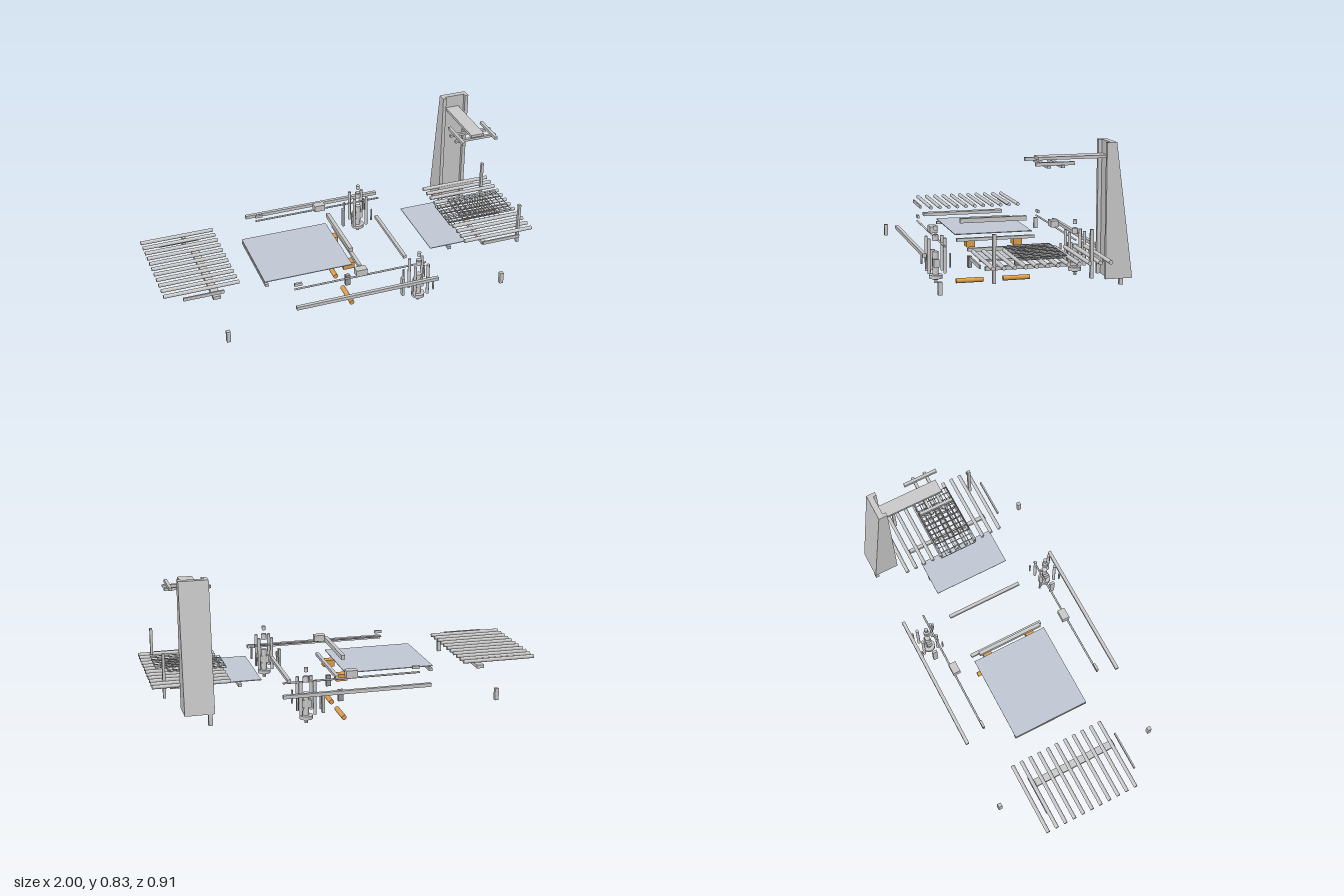
import * as THREE from 'three';

const grey = new THREE.MeshStandardMaterial({ color: 0xcccccc });
const dark = new THREE.MeshStandardMaterial({ color: 0x9a999d });
const orange = new THREE.MeshStandardMaterial({ color: 0xe0a04c });
const sheet = new THREE.MeshStandardMaterial({ color: 0xc2cad6 });

export function createModel() {
  const root = new THREE.Group();

  const add = (name, geometry, x, y, z, material = grey, parent = root) => {
    const mesh = new THREE.Mesh(geometry, material);
    mesh.name = name;
    mesh.position.set(x, y, z);
    parent.add(mesh);
    return mesh;
  };
  // Box given by its extents on each axis
  const box = (name, [x0, x1], [y0, y1], [z0, z1], material, parent) =>
    add(name, new THREE.BoxGeometry(x1 - x0, y1 - y0, z1 - z0),
      (x0 + x1) / 2, (y0 + y1) / 2, (z0 + z1) / 2, material, parent);
  // Cylinder along x, y or z
  const rod = (name, axis, r, length, x, y, z, material, parent, sides = 16) => {
    const g = new THREE.CylinderGeometry(r, r, length, sides);
    if (axis === 'x') g.rotateZ(Math.PI / 2);
    if (axis === 'z') g.rotateX(Math.PI / 2);
    return add(name, g, x, y, z, material, parent);
  };
  const group = (name) => {
    const g = new THREE.Group();
    g.name = name;
    root.add(g);
    return g;
  };

  // Roller tables at both ends
  const tables = [
    { name: 'rightRollerTable', x: -0.805, first: -0.3, count: 11, cross: -0.733, w: 0.02, rails: [-0.257, 0.252] },
    { name: 'leftRollerTable', x: 0.805, first: -0.302, count: 12, cross: 0.737, w: 0.01, rails: [-0.295, 0.295] },
  ];
  for (const t of tables) {
    const g = group(t.name);
    for (let i = 0; i < t.count; i++)
      rod('roller', 'x', 0.01, 0.39, t.x, 0.298, t.first + i * 0.0508, grey, g);
    box('crossBeam', [t.cross - t.w, t.cross + t.w], [0.232, 0.25], [-0.232, 0.23], grey, g);
    for (const z of t.rails)
      box('sideRail', [t.x - 0.105, t.x + 0.105], [0.28, 0.298], [z - 0.004, z + 0.004], grey, g);
    // Short legs
    const x = Math.sign(t.x) * 0.74;
    for (const z of [-0.443, 0.447])
      box('leg', [x - 0.01, x + 0.01], [0.128, 0.19], [z - 0.01, z + 0.01], grey, g);
  }

  // Guide posts beside the left table
  for (const z of [-0.23, 0.235])
    box('guidePost', [0.924, 0.938], [0.213, 0.443], [z - 0.008, z + 0.008]);

  // Two wire grids
  const wireGrid = (name, x0, x1, y) => {
    const g = group(name);
    for (let i = 0; i <= 7; i++)
      rod('wire', 'x', 0.0022, x1 - x0, (x0 + x1) / 2, y, -0.103 + i * 0.0294, grey, g, 6);
    const n = Math.round((x1 - x0) / 0.03);
    for (let i = 0; i <= n; i++)
      rod('wire', 'z', 0.0022, 0.206, x0 + (x1 - x0) * i / n, y, 0, grey, g, 6);
  };
  wireGrid('lowerGrid', 0.595, 0.89, 0.307);
  wireGrid('upperGrid', 0.67, 0.955, 0.332);

  // Flat bed sheets and the bars below them
  box('mainSheet', [-0.475, -0.002], [0.258, 0.262], [-0.21, 0.208], sheet);
  box('smallSheet', [0.437, 0.64], [0.258, 0.262], [-0.21, 0.208], sheet);
  for (const x of [-0.465, 0.04, 0.293, 0.547])
    box('crossBar', [x - 0.009, x + 0.009], [0.232, 0.248], [-0.21, 0.21]);

  // Centre parts: upper beam, blocks, pins and bottom rollers
  box('upperBeam', [-0.01, 0.01], [0.321, 0.345], [-0.178, 0.182]);
  for (const z of [-0.124, 0.13]) {
    box('block', [-0.03, 0.03], [0.196, 0.232], [z - 0.023, z + 0.023], orange);
    box('pin', [-0.013, 0.013], [0.082, 0.143], [z - 0.01, z + 0.01], dark);
    rod('bottomRoller', 'z', 0.013, 0.147, 0, 0.013, z, orange, root, 24);
  }

  // Long side rails, slim rods, sliders and rod ends
  for (const s of [-1, 1]) {
    box('longRail', [-0.385, 0.38], [0.232, 0.25], [s * 0.447 - 0.009, s * 0.447 + 0.009]);
    rod('slimRod', 'x', 0.005, 0.715, -0.002, 0.275, s * 0.338, grey, root, 10);
    box('slider', [-0.03, 0.03], [0.28, 0.314], [s * 0.327 - 0.02, s * 0.327 + 0.02]);
    box('rodEnd', [-0.36, -0.32], [0.295, 0.31], [s * 0.338 - 0.006, s * 0.338 + 0.006]);
  }

  // Spindle units with guide columns
  for (const [x, y, z] of [[0.3, 0, 0.375], [0.245, -0.013, -0.37]]) {
    const g = group('spindleUnit');
    g.position.set(x, y, z);
    for (const [name, r, y0, y1] of [
      ['spindleBody', 0.015, 0.124, 0.242], ['flange', 0.034, 0.106, 0.124],
      ['nose', 0.013, 0.098, 0.106], ['tip', 0.009, 0.082, 0.092],
      ['coupling', 0.016, 0.298, 0.324], ['couplingRim', 0.013, 0.324, 0.329],
      ['cap', 0.01, 0.35, 0.372]])
      rod(name, 'y', r, y1 - y0, 0, (y0 + y1) / 2, 0, grey, g, 24);
    box('bodyBracket', [-0.025, 0.025], [0.165, 0.205], [-0.014, 0.014], grey, g);
    for (const sx of [-1, 1]) for (const sz of [-1, 1]) {
      rod('guideColumn', 'y', 0.008, 0.178, sx * 0.035, 0.226, sz * 0.04, grey, g);
      rod('slimColumn', 'y', 0.005, 0.07, sx * 0.058, 0.205, sz * 0.06, grey, g, 10);
    }
    box('sidePlate', [-0.093, -0.08], [0.13, 0.235], [-0.013, 0.013], grey, g);
  }

  // Tapered column with a shallow front recess
  const column = group('column');
  const wedge = (name, x0, x1, front) => {
    // Shape plane maps to (z, y); extrusion runs along x
    const s = new THREE.Shape([[front, 0.187], [front, 0.835], [0.37, 0.835], [0.455, 0.187]]
      .map(([a, b]) => new THREE.Vector2(a, b)));
    const g = new THREE.ExtrudeGeometry(s, { depth: x1 - x0, bevelEnabled: false });
    g.rotateY(Math.PI / 2);
    add(name, g, x0, 0, 0, grey, column);
  };
  wedge('rightFlange', 0.718, 0.737, 0.322);
  wedge('columnCore', 0.737, 0.847, 0.34);
  wedge('leftFlange', 0.847, 0.866, 0.322);

  // Overhead arm and its hanging frame
  box('arm', [0.743, 0.817], [0.756, 0.77], [-0.342, -0.005]);
  for (const x of [0.687, 0.873])
    box('frameRail', [x - 0.008, x + 0.008], [0.738, 0.754], [-0.16, 0.026]);
  for (const z of [-0.1, -0.032])
    box('frameBar', [0.663, 0.898], [0.728, 0.741], [z - 0.008, z + 0.008]);

  return root;
}
